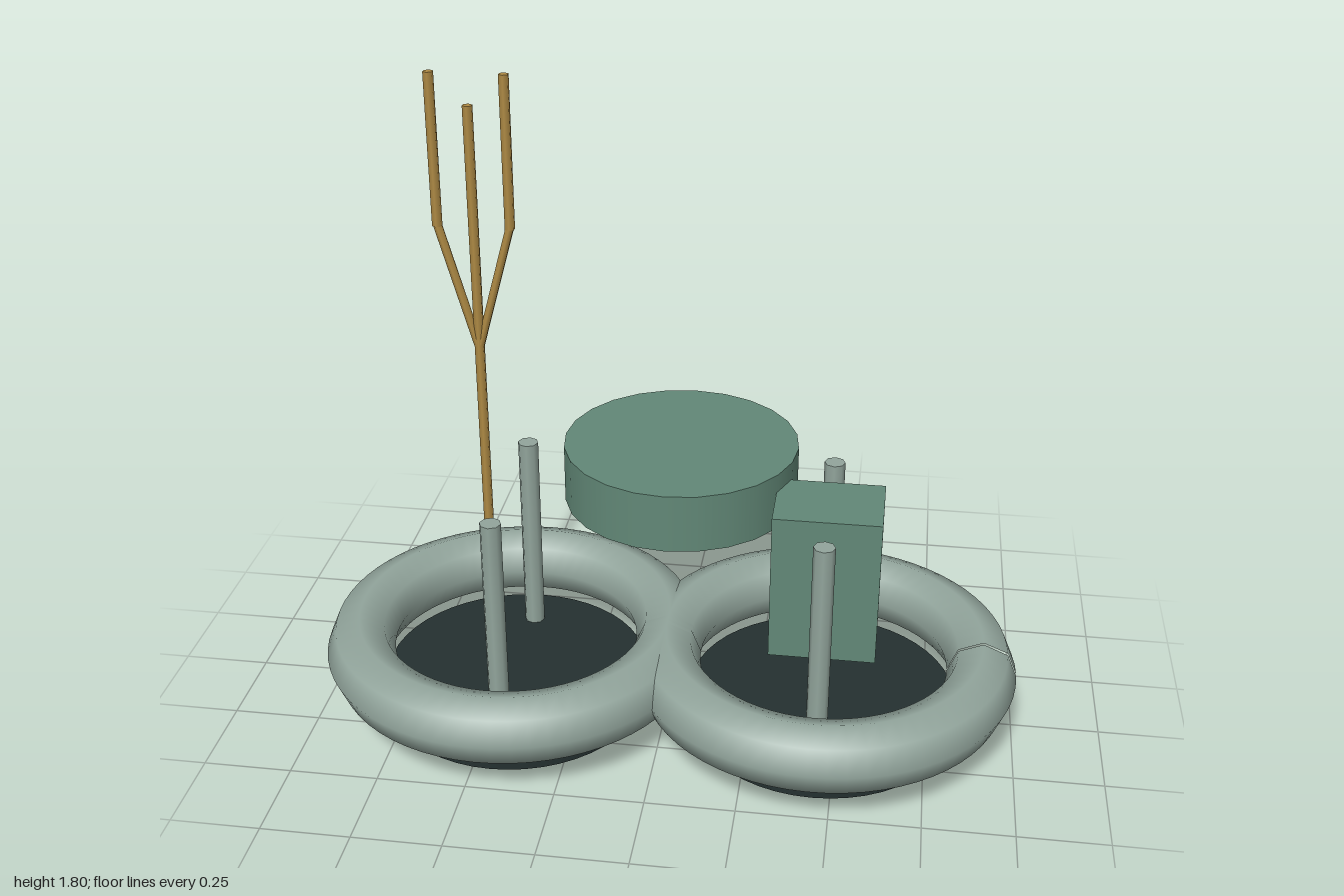
import * as THREE from 'three';

const mat = (name, color, extra = {}) => {
  const m = new THREE.MeshStandardMaterial({ color, ...extra });
  m.name = name;
  return m;
};

export function createModel() {
  const model = new THREE.Group();
  model.name = 'twinRingStand';
  const paleGreen = mat('paleGreyGreen', 0x92a59c);
  const ringGreen = paleGreen;
  const green = mat('mutedGreen', 0x628877);
  const dark = mat('darkSlate', 0x243030);
  const gold = mat('oldGold', 0xae8a44);

  const add = (name, geometry, material, x, y, z) => {
    const mesh = new THREE.Mesh(geometry, material);
    mesh.name = name;
    mesh.position.set(x, y, z);
    model.add(mesh);
    return mesh;
  };

  // Straight rod between two points
  const rod = (name, a, b, radius, sides, material) => {
    const from = new THREE.Vector3(...a), to = new THREE.Vector3(...b);
    const dir = to.clone().sub(from);
    const mid = from.clone().add(to).multiplyScalar(0.5);
    const mesh = add(name, new THREE.CylinderGeometry(radius, radius, dir.length(), sides),
      material, mid.x, mid.y, mid.z);
    mesh.quaternion.setFromUnitVectors(new THREE.Vector3(0, 1, 0), dir.normalize());
  };

  // Two pontoons: ring with a fine slit on its +x side, base disc and two posts
  for (const [side, x] of [['right', -0.45], ['left', 0.45]]) {
    const ring = add(side + 'Ring', new THREE.TorusGeometry(0.451, 0.098, 8, 64, 6.265),
      ringGreen, x, 0.195, 0.03);
    ring.rotation.x = -Math.PI / 2;
    add(side + 'Base', new THREE.CylinderGeometry(0.38, 0.38, 0.1, 48), dark, x, 0.05, 0.034);
    rod(side + 'FrontPost', [x, 0.09, 0.27], [x, 0.71, 0.27], 0.03, 8, paleGreen);
    rod(side + 'BackPost', [x, 0.09, -0.214], [x, 0.71, -0.214], 0.03, 8, paleGreen);
  }

  // Raised drum and upright box
  add('drum', new THREE.CylinderGeometry(0.343, 0.343, 0.173, 24), green, 0, 0.643, -0.248);
  add('box', new THREE.BoxGeometry(0.305, 0.445, 0.235), green, 0.447, 0.4525, -0.038);

  // Three-pronged mast
  const mx = -0.588, mz = -0.243, r = 0.015;
  rod('mast', [mx, 0.27, mz], [mx, 1.71, mz], r, 6, gold);
  for (const [side, s] of [['right', -1], ['left', 1]]) {
    const px = mx + s * 0.104;
    rod(side + 'Branch', [mx, 0.99, mz], [px, 1.365, mz], r * 0.85, 6, gold);
    rod(side + 'Prong', [px, 1.36, mz], [px, 1.8, mz], r, 6, gold);
  }
  return model;
}
